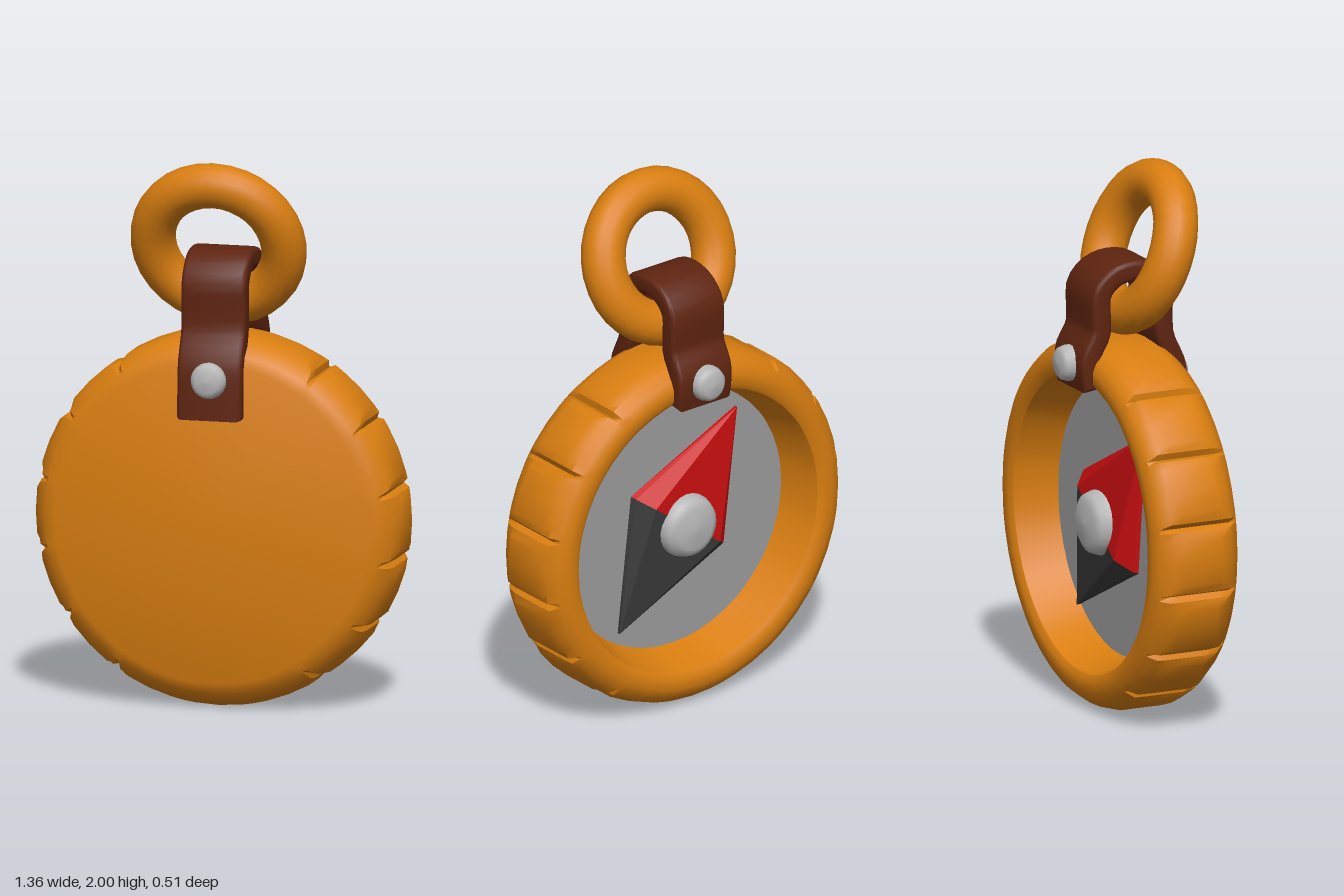
import * as THREE from 'three';
import { toCreasedNormals } from 'three/addons/utils/BufferGeometryUtils.js';
import { ConvexGeometry } from 'three/addons/geometries/ConvexGeometry.js';

const CY = 0.685; // height of the case centre

const material = (name, color) => {
  const m = new THREE.MeshStandardMaterial({ color });
  m.name = name;
  return m;
};

// Round case with an open back: a turned profile whose rim is cut by grooves
function caseGeometry() {
  const profile = [
    [0, 0.175], [0.585, 0.175], [0.625, 0.16], [0.66, 0.12], [0.68, 0.075],
    [0.68, -0.075], [0.667, -0.12], [0.64, -0.155], [0.605, -0.17], [0.565, -0.17],
    [0.545, -0.157], [0.535, -0.12], [0.5, 0.005],
  ];
  const rings = [];
  for (let k = 0; k < 16; k++) {
    const base = 11.25 + 22.5 * k;
    // the top and bottom sections are left long, without a groove
    const grooved = Math.abs(Math.cos(THREE.MathUtils.degToRad(base))) > 0.3;
    const limits = grooved ? [0.668, 0.645, 0.668] : [1, 1, 1];
    [-1.3, 0, 1.3, 4, 11.25, 18.5].forEach((offset, i) => {
      rings.push({ angle: THREE.MathUtils.degToRad(base + offset), limit: limits[i] ?? 1 });
    });
  }
  const positions = [];
  const index = [];
  const n = profile.length;
  rings.forEach(({ angle, limit }, i) => {
    const next = (i + 1) % rings.length;
    profile.forEach(([radius, z], j) => {
      const r = Math.min(radius, limit);
      positions.push(r * Math.cos(angle), r * Math.sin(angle), z);
      if (j === n - 1) return;
      const a = i * n + j, b = next * n + j;
      index.push(a, a + 1, b + 1, a, b + 1, b);
    });
  });
  const g = new THREE.BufferGeometry();
  g.setAttribute('position', new THREE.Float32BufferAttribute(positions, 3));
  g.setIndex(index);
  return toCreasedNormals(g, 0.6);
}

// Leather loop: side outline around a curved centre line, extruded across x
function strapGeometry() {
  const path = new THREE.CatmullRomCurve3([
    [0.183, 1.085], [0.18, 1.18], [0.172, 1.27], [0.125, 1.38], [0.12, 1.47],
    [0.118, 1.56], [0.07, 1.62], [0, 1.635], [-0.075, 1.615], [-0.125, 1.56],
    [-0.128, 1.47], [-0.13, 1.41], [-0.17, 1.33], [-0.172, 1.27], [-0.165, 1.225],
  ].map(([z, y]) => new THREE.Vector3(z, y, 0)));
  const outer = [], inner = [];
  const steps = 40, half = 0.02, bevel = 0.017;
  for (let i = 0; i <= steps; i++) {
    const p = path.getPoint(i / steps);
    const t = path.getTangent(i / steps);
    outer.push(new THREE.Vector2(p.x + t.y * half, p.y - t.x * half));
    inner.push(new THREE.Vector2(p.x - t.y * half, p.y + t.x * half));
  }
  const width = 0.24 - 2 * bevel;
  const g = new THREE.ExtrudeGeometry(new THREE.Shape([...outer, ...inner.reverse()]), {
    depth: width, bevelEnabled: true, bevelSize: bevel, bevelThickness: bevel, bevelSegments: 3,
  });
  g.translate(0, 0, -width / 2);
  g.rotateY(-Math.PI / 2);
  return toCreasedNormals(g, 0.7);
}

// Rounded stud turned about z, its head facing the given direction
function studGeometry(radius, height, direction) {
  const profile = [
    [radius, 0], [radius, height * 0.62], [radius * 0.9, height * 0.84],
    [radius * 0.65, height * 0.96], [0, height],
  ].map(([r, y]) => new THREE.Vector2(r, y));
  const g = new THREE.LatheGeometry(profile, 24);
  g.rotateX(direction * Math.PI / 2);
  return g;
}

// Half of the diamond needle, bevelled from its outline up to a narrower top
function needleHalf(side) {
  const points = [
    [0.46, 0, 0], [0, 0.255, 0], [0, -0.255, 0], [0.46, 0, -0.012],
    [0, 0.245, -0.02], [0, -0.245, -0.02], [0, 0.18, -0.07], [0, -0.18, -0.07],
  ];
  return new ConvexGeometry(points.map(([x, y, z]) => new THREE.Vector3(x * side, y, z)));
}

export function createModel() {
  const model = new THREE.Group();
  model.name = 'compass';
  const orange = material('orange', 0xd97e10);
  const leather = material('brown leather', 0x5e2410);
  const steel = material('light metal', 0xb8b8b8);
  const dialGrey = material('dial grey', 0x9c9c9c);
  const red = material('red', 0xc80f10);
  const charcoal = material('charcoal', 0x3a3a3a);

  const add = (name, geometry, mat, x, y, z) => {
    const mesh = new THREE.Mesh(geometry, mat);
    mesh.name = name;
    mesh.position.set(x, y, z);
    model.add(mesh);
    return mesh;
  };

  add('case', caseGeometry(), orange, 0, CY, 0);

  // Dial on the open side, facing the back
  add('dial', new THREE.CircleGeometry(0.51, 64), dialGrey, 0, CY, 0).rotation.y = Math.PI;

  // Two-coloured needle and its pivot
  const needleAngle = THREE.MathUtils.degToRad(125.6);
  add('needleRedHalf', needleHalf(1), red, 0, CY, -0.03).rotation.z = needleAngle;
  add('needleDarkHalf', needleHalf(-1), charcoal, 0, CY, -0.03).rotation.z = needleAngle;
  add('pivot', studGeometry(0.12, 0.15, -1), steel, 0, CY, 0);

  // Strap with a rivet at each end
  add('strap', strapGeometry(), leather, 0, 0, 0);
  add('frontRivet', studGeometry(0.066, 0.1, 1), steel, 0, 1.215, 0.155);
  add('backRivet', studGeometry(0.066, 0.1, -1), steel, 0, 1.293, -0.155);

  // Hanging ring, leaning forward through the strap
  add('ring', new THREE.TorusGeometry(0.243, 0.082, 16, 32), orange, 0, 1.692, 0.075)
    .rotation.x = THREE.MathUtils.degToRad(20.5);

  return model;
}
